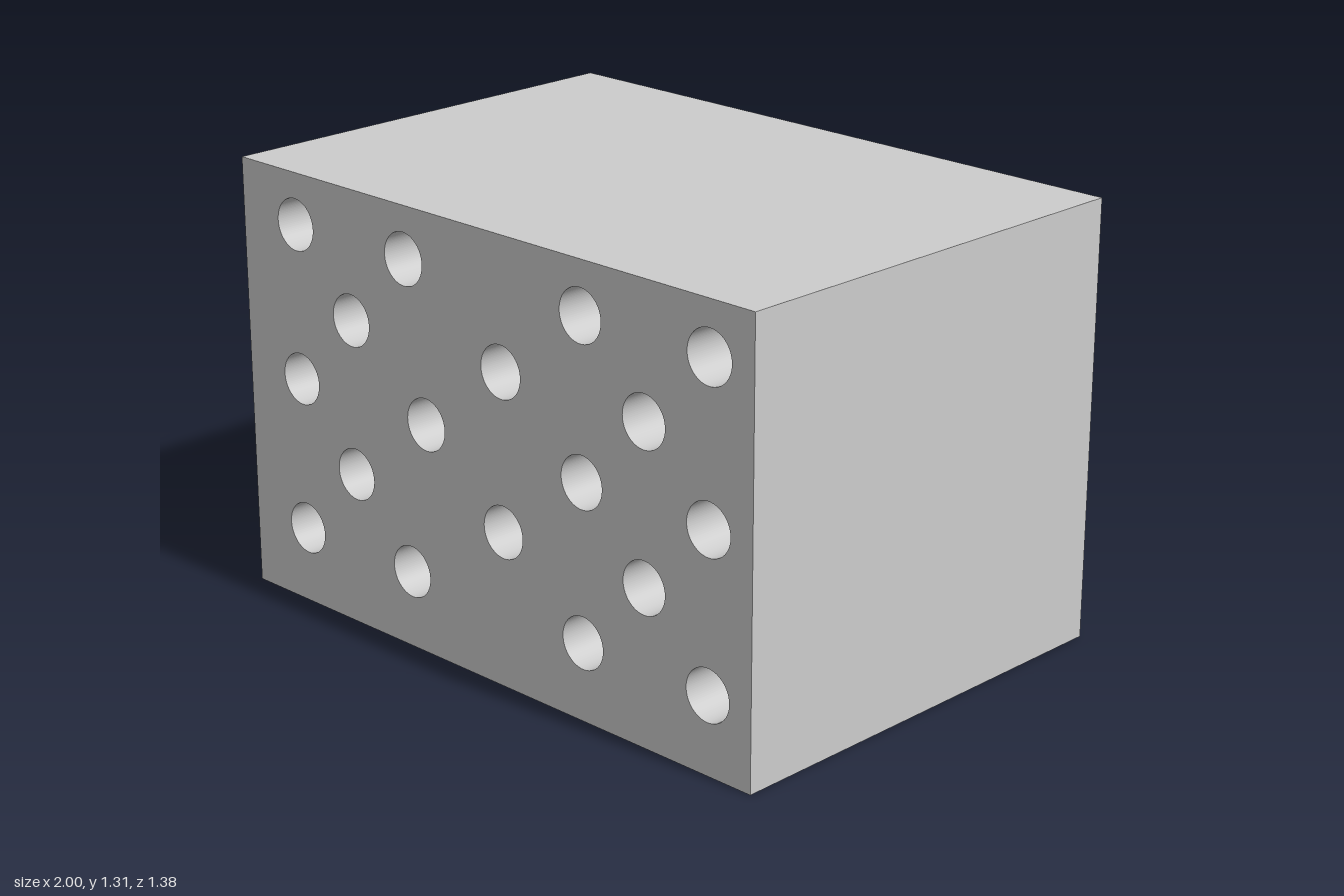
import * as THREE from 'three';

const U = 2 / 26; // module: one wall thickness
const W = 26, H = 17, D = 18; // outer size in modules
const FRONT = 2; // the drilled front wall is twice as thick

// hole centres per row: [height, x positions]
const HOLES = [
  [15, [-10, -4, 5, 11]],
  [12, [-7, 1, 8]],
  [9, [-10, -3, 5, 11]],
  [6, [-7, 1, 8]],
  [3, [-10, -4, 5, 11]],
];

export function createModel() {
  const group = new THREE.Group();
  group.name = 'perforatedBox';
  const material = new THREE.MeshStandardMaterial({ color: 0xcccccc });

  const add = (name, geometry) => {
    geometry.scale(U, U, U);
    const mesh = new THREE.Mesh(geometry, material);
    mesh.name = name;
    group.add(mesh);
  };
  // box between two corners, in modules
  const wall = (name, [x0, y0, z0], [x1, y1, z1]) =>
    add(name, new THREE.BoxGeometry(x1 - x0, y1 - y0, z1 - z0)
      .translate((x0 + x1) / 2, (y0 + y1) / 2, (z0 + z1) / 2));

  const x = W / 2, z = D / 2, inner = z - FRONT;

  // thick front wall with round through-holes
  const panel = new THREE.Shape([
    new THREE.Vector2(-x, 0), new THREE.Vector2(x, 0),
    new THREE.Vector2(x, H), new THREE.Vector2(-x, H),
  ]);
  for (const [hy, xs] of HOLES) {
    for (const hx of xs) {
      panel.holes.push(new THREE.Path().absarc(hx, hy, 1, 0, Math.PI * 2, true));
    }
  }
  add('frontWall', new THREE.ExtrudeGeometry(panel, {
    depth: FRONT, bevelEnabled: false, curveSegments: 48,
  }).translate(0, 0, inner));

  // plain walls; the -x end stays open
  wall('floor', [-x, 0, -z], [x, 1, inner]);
  wall('roof', [-x, H - 1, -z], [x, H, inner]);
  wall('backWall', [-x, 1, -z], [x, H - 1, -z + 1]);
  wall('endWall', [x - 1, 1, -z + 1], [x, H - 1, inner]);

  return group;
}
